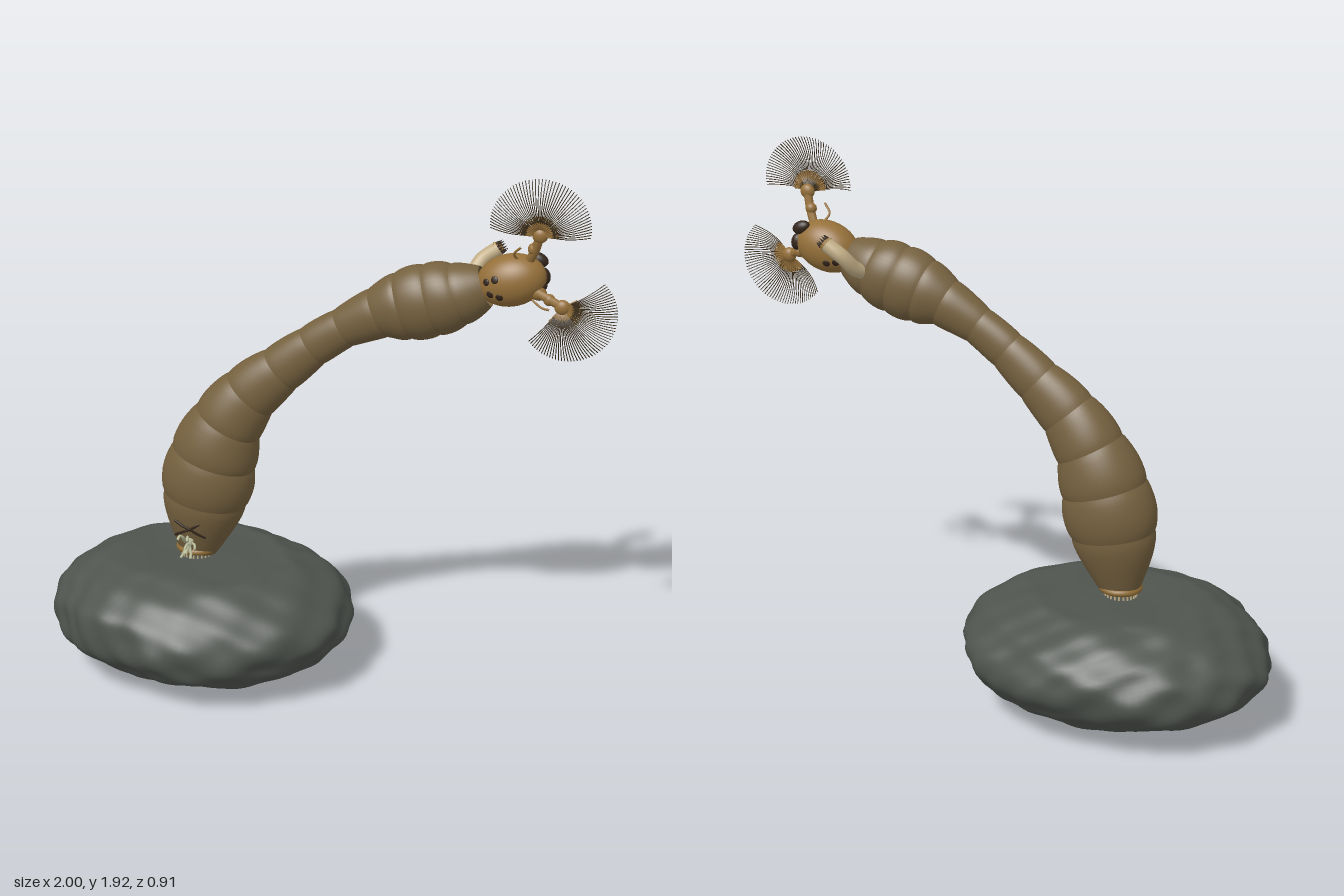
import * as THREE from 'three';
import { mergeVertices, mergeGeometries } from 'three/addons/utils/BufferGeometryUtils.js';

const V = (x, y, z) => new THREE.Vector3(x, y, z);
const mat = (color, side = THREE.FrontSide) => new THREE.MeshStandardMaterial({ color, side, roughness: 0.8 });
const M = {
  rock: mat(0x4f544e), body: mat(0x75613f, THREE.DoubleSide), head: mat(0x95703a), dark: mat(0x33251a),
  pale: mat(0xc4b088), gill: mat(0xb9bd9a), ring: mat(0x8f6c35), ray: mat(0x3d301d),
};

function add(parent, name, geo, material, pos) {
  const m = new THREE.Mesh(geo, material);
  m.name = name;
  if (pos) m.position.copy(pos);
  parent.add(m);
  return m;
}

// Tube through points
const tube = (pts, r, segs = 10, sides = 8) =>
  new THREE.TubeGeometry(new THREE.CatmullRomCurve3(pts), segs, r, sides);

// Ellipsoid mesh
function blob(parent, name, material, pos, sx, sy, sz, rz = 0, detail = 16) {
  const m = add(parent, name, new THREE.SphereGeometry(1, detail * 2, detail), material, pos);
  m.scale.set(sx, sy, sz);
  m.rotation.z = rz;
  return m;
}

// Lumpy stone with a flat top
function makeRock(parent) {
  let geo = new THREE.IcosahedronGeometry(1, 22);
  geo.deleteAttribute('normal');
  geo.deleteAttribute('uv');
  geo = mergeVertices(geo, 1e-4);
  const p = geo.attributes.position;
  for (let i = 0; i < p.count; i++) {
    const v = V().fromBufferAttribute(p, i);
    const k = 1
      + 0.022 * Math.sin(5 * v.x + 3 * v.z + 1) * Math.cos(4 * v.y - 2 * v.z)
      + 0.02 * Math.sin(9 * v.x - 4 * v.y + 2) * Math.sin(8 * v.z + 5 * v.y)
      + 0.014 * Math.sin(17 * v.z + 6 * v.x) * Math.cos(15 * v.x + 9 * v.y);
    const y = 0.24 + v.y * k * 0.235;
    const top = 0.437 + 0.004 * Math.sin(9 * v.x) * Math.cos(8 * v.z);
    p.setXYZ(i, -0.435 + v.x * k * 0.545, Math.max(0, Math.min(y, top)), v.z * k * 0.45);
  }
  geo.computeVertexNormals();
  add(parent, 'rock', geo, M.rock);
}

// Segment borders: x, y, radius in the bending plane, radius in z
const KNOTS = [
  [-0.45, 0.455, 0.072, 0.06], [-0.42, 0.66, 0.153, 0.124], [-0.385, 0.82, 0.155, 0.13],
  [-0.33, 0.957, 0.127, 0.11], [-0.25, 1.07, 0.106, 0.086], [-0.14, 1.17, 0.087, 0.068],
  [-0.027, 1.265, 0.074, 0.057], [0.08, 1.34, 0.071, 0.057], [0.2, 1.405, 0.09, 0.075],
  [0.285, 1.437, 0.118, 0.093], [0.38, 1.467, 0.125, 0.1], [0.47, 1.495, 0.108, 0.094],
  [0.56, 1.53, 0.072, 0.062],
];

function makeBody(parent) {
  const body = new THREE.Group();
  body.name = 'body';
  parent.add(body);
  const n = KNOTS.length - 1, STEPS = 10, SIDES = 40;
  const path = new THREE.CatmullRomCurve3(KNOTS.map(k => V(k[0], k[1], 0)), false, 'catmullrom', 0.5);
  const radii = new THREE.CatmullRomCurve3(KNOTS.map(k => V(k[2], k[3], 0)), false, 'catmullrom', 0.5);
  for (let s = 0; s < n; s++) {
    const pos = [], idx = [];
    for (let i = 0; i <= STEPS; i++) {
      const f = i / STEPS, u = (s + f) / n;
      const c = path.getPoint(u), r = radii.getPoint(u), t = path.getTangent(u);
      const bulge = 0.965 + 0.065 * Math.pow(Math.sin(Math.PI * f), 0.6);
      for (let j = 0; j <= SIDES; j++) {
        const a = (j / SIDES) * Math.PI * 2;
        const d = Math.cos(a) * r.x * bulge;
        pos.push(c.x + t.y * d, c.y - t.x * d, Math.sin(a) * r.y * bulge);
        if (i < STEPS && j < SIDES) {
          const q = i * (SIDES + 1) + j, w = q + SIDES + 1;
          idx.push(q, w, q + 1, q + 1, w, w + 1);
        }
      }
    }
    let geo = new THREE.BufferGeometry();
    geo.setAttribute('position', new THREE.Float32BufferAttribute(pos, 3));
    geo.setIndex(idx);
    geo = mergeVertices(geo, 1e-5);
    geo.computeVertexNormals();
    add(body, 'bodySegment' + (s + 1), geo, M.body);
  }
}

// Attachment ring with tiny hooks, gills and the crossed plate on the rear end
function makeTail(parent) {
  const tail = new THREE.Group();
  tail.name = 'tail';
  tail.position.set(-0.45, 0, 0);
  parent.add(tail);
  const ring = add(tail, 'attachmentRing', new THREE.TorusGeometry(0.06, 0.013, 10, 40), M.ring, V(0, 0.466, 0));
  ring.rotation.x = Math.PI / 2;
  ring.scale.x = 1.06;
  for (let i = 0; i < 24; i++) {
    const a = (i / 24) * Math.PI * 2;
    add(tail, 'hook', new THREE.CylinderGeometry(0.003, 0.004, 0.026, 5), M.pale,
      V(Math.cos(a) * 0.056, 0.446, Math.sin(a) * 0.054));
  }
  for (const [x, y, z] of [[-0.012, 0.565, 0.15], [0.014, 0.535, 0.152], [0, 0.5, 0.155]]) {
    add(tail, 'gill', tube([V(0, 0.525, 0.06), V(x * 0.4, 0.525, 0.1), V(x, y, z)], 0.008), M.gill);
    for (const s of [-1, 1])
      add(tail, 'gillBranch', tube([V(x * 0.5, 0.525, 0.105), V(x + s * 0.014, y - 0.008, z - 0.025),
        V(x + s * 0.018, y - 0.018, z - 0.006)], 0.005, 6, 6), M.gill);
  }
  for (const s of [-1, 1]) {
    add(tail, 'crossedPlateUpper', tube([V(0.005, 0.575, 0.106), V(s * 0.025, 0.59, 0.108), V(s * 0.05, 0.605, 0.104)], 0.005), M.dark);
    add(tail, 'crossedPlateLower', tube([V(0.005, 0.575, 0.106), V(s * 0.025, 0.56, 0.1), V(s * 0.055, 0.54, 0.085)], 0.005), M.dark);
  }
}

// Fan of fine curved rays on a stalk; angles in degrees
function makeFan(parent, name, root, hub, mid, spread) {
  const fan = new THREE.Group();
  fan.name = name;
  parent.add(fan);
  add(fan, 'fanStalk', tube([root, root.clone().lerp(hub, 0.5).add(V(0.006, 0, 0.004)), hub], 0.015), M.head);
  blob(fan, 'fanJoint', M.head, root.clone().lerp(hub, 0.55), 0.02, 0.02, 0.018);
  const rays = (count, length, r, z1, z2) => {
    const list = [];
    for (let i = 0; i < count; i++) {
      const f = (i / (count - 1)) * 2 - 1;
      const a = THREE.MathUtils.degToRad(mid + f * spread);
      const L = length * (1 - 0.14 * f * f), dx = Math.cos(a), dy = Math.sin(a);
      const start = hub.clone().add(V(dx * 0.015, dy * 0.015, 0));
      const curve = new THREE.QuadraticBezierCurve3(start,
        V(hub.x + dx * L * 0.5, hub.y + dy * L * 0.5, z1), V(hub.x + dx * L, hub.y + dy * L, z2));
      list.push(new THREE.TubeGeometry(curve, 8, r, 4));
    }
    return mergeGeometries(list);
  };
  add(fan, 'longRays', rays(52, 0.19, 0.0015, 0.1, 0.042), M.ray);
  add(fan, 'shortRays', rays(22, 0.07, 0.0035, 0.06, 0.055), M.head);
  blob(fan, 'fanHub', M.head, hub, 0.026, 0.026, 0.018);
}

function makeHead(parent) {
  const head = new THREE.Group();
  head.name = 'head';
  head.position.set(0.643, 1.556, -0.008);
  head.rotation.z = 0.28;
  parent.add(head);
  const [a, b, c] = [0.117, 0.088, 0.077];
  blob(head, 'headCapsule', M.head, V(0, 0, 0), a, b, c, 0, 28);
  // Dark spots lying on the capsule, mirrored to both cheeks
  for (const s of [-1, 1])
    for (const [x, y, r] of [[-0.07, 0.025, 0.012], [-0.038, 0.03, 0.013], [-0.068, -0.018, 0.013], [-0.038, -0.032, 0.013]]) {
      const z = s * c * Math.sqrt(1 - (x / a) ** 2 - (y / b) ** 2);
      const spot = blob(head, 'eyeSpot', M.dark, V(x, y, z), r, r, 0.004, 0, 10);
      spot.lookAt(spot.getWorldPosition(V()).add(V(x / a / a, y / b / b, z / c / c).transformDirection(head.matrixWorld)));
    }
  // Mouthparts
  blob(parent, 'upperJaw', M.dark, V(0.725, 1.622, -0.042), 0.034, 0.023, 0.02, -0.4);
  blob(parent, 'lowerJaw', M.dark, V(0.745, 1.568, -0.036), 0.022, 0.03, 0.02, 0.2);
  blob(parent, 'lip', M.ring, V(0.735, 1.525, 0.012), 0.03, 0.024, 0.026, -0.3);
  blob(parent, 'mouth', M.dark, V(0.742, 1.545, -0.005), 0.02, 0.018, 0.02);
  // Antennae
  add(parent, 'upperAntenna', tube([V(0.67, 1.63, 0.01), V(0.655, 1.66, 0.035), V(0.68, 1.69, 0.05)], 0.004), M.head);
  add(parent, 'lowerAntenna', tube([V(0.72, 1.51, 0.04), V(0.755, 1.49, 0.055), V(0.78, 1.485, 0.055)], 0.004), M.head);
  makeFan(parent, 'upperFan', V(0.69, 1.61, -0.005), V(0.738, 1.73, 0.035), 88, 86);
  makeFan(parent, 'lowerFan', V(0.72, 1.535, 0.02), V(0.82, 1.492, 0.04), -48, 82);
}

// Single bent leg on the thorax with a crown of hooks
function makeProleg(parent) {
  const leg = new THREE.Group();
  leg.name = 'proleg';
  parent.add(leg);
  add(leg, 'prolegShaft', tube([V(0.47, 1.49, -0.05), V(0.492, 1.52, -0.105), V(0.52, 1.57, -0.143), V(0.575, 1.612, -0.155)], 0.026, 20, 16), M.pale);
  const tip = new THREE.Group();
  tip.name = 'prolegTip';
  tip.position.set(0.575, 1.612, -0.155);
  tip.rotation.z = -0.95;
  leg.add(tip);
  add(tip, 'prolegCuff', new THREE.CylinderGeometry(0.02, 0.027, 0.014, 16), M.ring);
  for (let i = 0; i < 12; i++) {
    const t = (i / 12) * Math.PI * 2;
    add(tip, 'prolegHook', new THREE.ConeGeometry(0.005, 0.02, 6), M.dark, V(Math.cos(t) * 0.019, 0.013, Math.sin(t) * 0.019));
  }
}

export function createModel() {
  const model = new THREE.Group();
  model.name = 'larvaOnRock';
  makeRock(model);
  makeBody(model);
  makeTail(model);
  makeHead(model);
  makeProleg(model);
  return model;
}
